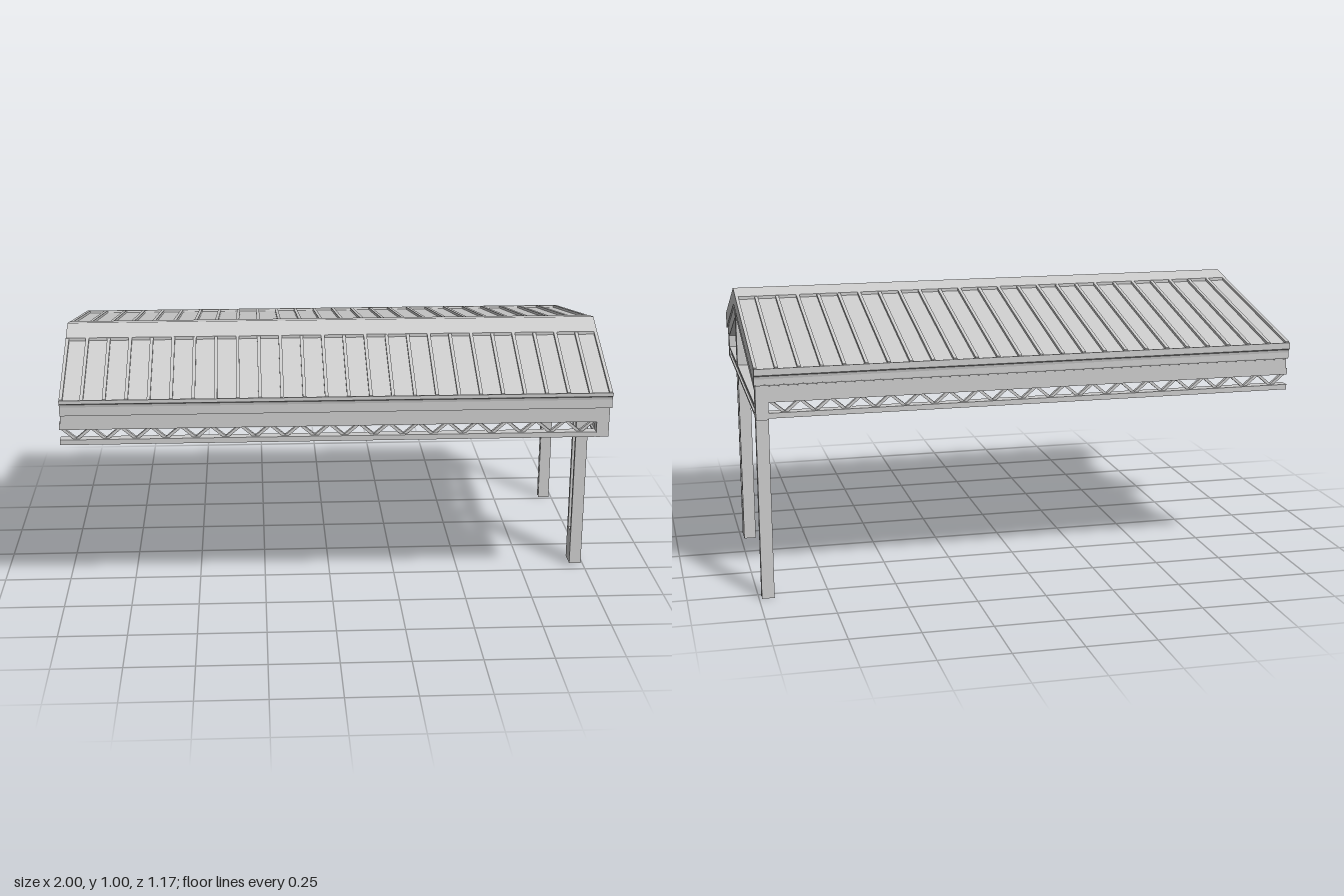
import * as THREE from 'three';

const mat = new THREE.MeshStandardMaterial({ color: 0xcccccc, flatShading: true });
const X0 = -0.97, X1 = 0.995, RIDGE = 0.172;

// Height of the roof surface at depth z
const roofY = z => 1 - (z > RIDGE ? 0.415 * (z - RIDGE) : 0.207 * (RIDGE - z));

export function createModel() {
  const root = new THREE.Group();

  function group(name) {
    const g = new THREE.Group();
    g.name = name;
    root.add(g);
    return g;
  }
  function add(parent, name, geometry) {
    const m = new THREE.Mesh(geometry, mat);
    m.name = name;
    parent.add(m);
    return m;
  }
  // Box given by its limits on each axis
  function box(parent, name, [xa, xb], [ya, yb], [za, zb]) {
    const m = add(parent, name, new THREE.BoxGeometry(xb - xa, yb - ya, zb - za));
    m.position.set((xa + xb) / 2, (ya + yb) / 2, (za + zb) / 2);
    return m;
  }
  // Straight bar between two points
  function bar(parent, name, a, b, w, h) {
    const p = new THREE.Vector3(...a), q = new THREE.Vector3(...b);
    const m = add(parent, name, new THREE.BoxGeometry(w, h, p.distanceTo(q)));
    m.position.copy(p).lerp(q, 0.5);
    m.lookAt(q);
    return m;
  }
  // Profile of [z, y] points extruded along x
  function extrudeX(parent, name, pts, xa, xb) {
    const shape = new THREE.Shape(pts.map(([z, y]) => new THREE.Vector2(-z, y)));
    const g = new THREE.ExtrudeGeometry(shape, { depth: xb - xa, bevelEnabled: false });
    g.rotateY(Math.PI / 2).translate(xa, 0, 0);
    return add(parent, name, g);
  }
  // Layer that follows the roof between two depths below its surface
  function roofBand(parent, name, zs, top, bottom, xa, xb) {
    const upper = zs.map(z => [z, roofY(z) - top]);
    const lower = zs.map(z => [z, roofY(z) - bottom]).reverse();
    return extrudeX(parent, name, [...upper, ...lower], xa, xb);
  }

  // Roof: recessed sheets, standing seams and ridge cap
  const roof = group('roof');
  roofBand(roof, 'roofSheet', [0.575, RIDGE, -0.575], 0.01, 0.06, X0, X1);
  const panels = 25, step = (X1 - X0) / panels;
  for (let i = 0; i <= panels; i++) {
    const x = Math.min(Math.max(X0 + i * step, X0 + 0.006), X1 - 0.006);
    roofBand(roof, 'roofSeam', [0.575, RIDGE, -0.575], 0, 0.012, x - 0.006, x + 0.006);
  }
  roofBand(roof, 'ridgeCap', [0.255, RIDGE, 0.08], -0.001, 0.012, X0, X1);

  // Rafters, one pair per frame
  const rafters = group('rafters');
  for (const x of [0.967, 0.5, 0.01, -0.475]) {
    roofBand(rafters, 'rafter', [0.53, RIDGE, -0.52], 0.058, 0.107, x - 0.022, x + 0.022);
  }

  // Eaves on both long sides: gutter, fascia beam and lattice girder
  const eaves = [
    { name: 'front', s: 1, za: 0.525, zb: 0.562, tip: 0.833 },
    { name: 'back', s: -1, za: 0.515, zb: 0.555, tip: 0.843 },
  ];
  for (const { name, s, za, zb, tip } of eaves) {
    const g = group(name + 'Eave');
    const z = s > 0 ? [za, zb] : [-zb, -za], zm = (z[0] + z[1]) / 2;
    const gutter = [[zb, 0.78], [0.57, 0.78], [0.577, 0.815], [0.586, 0.82],
      [0.586, tip], [0.58, tip], [0.572, 0.825], [zb, 0.825]];
    extrudeX(g, 'gutter', gutter.map(([d, y]) => [s * d, y]), X0, X1);
    box(g, 'fasciaBeam', [X0, 0.99], [0.74, 0.81], z);
    box(g, 'fasciaLip', [X0, 0.99], [0.735, 0.775], [zm - 0.021, zm + 0.021]);
    box(g, 'topChord', [-0.975, 0.95], [0.717, 0.74], z);
    box(g, 'bottomChord', [-0.975, 0.95], [0.66, 0.679], z);
    const bays = 18, w = 1.91 / bays;
    for (let i = 0; i < bays; i++) {
      const x = X0 + i * w;
      bar(g, 'diagonal', [x, 0.72, zm], [x + w / 2, 0.675, zm], 0.014, 0.01);
      bar(g, 'diagonal', [x + w / 2, 0.675, zm], [x + w, 0.72, zm], 0.014, 0.01);
    }
  }

  // End frame: tie beam, king post and post heads
  const frame = group('endFrame');
  const fx = [0.945, 0.99];
  box(frame, 'tieBeam', [0.952, 0.983], [0.668, 0.697], [-0.515, 0.53]);
  box(frame, 'tieBeamTopFlange', fx, [0.695, 0.703], [-0.515, 0.53]);
  box(frame, 'tieBeamBottomFlange', fx, [0.661, 0.669], [-0.515, 0.53]);
  box(frame, 'kingPost', fx, [0.7, 0.92], [0.152, 0.194]);
  box(frame, 'frontPostHead', fx, [0.66, 0.805], [0.522, 0.563]);
  box(frame, 'backPostHead', fx, [0.655, 0.81], [-0.556, -0.512]);

  // Laced column under the ridge
  const laced = group('latticeColumn');
  box(laced, 'columnBase', fx, [0.008, 0.14], [0.137, 0.211]);
  box(laced, 'frontChord', fx, [0.1, 0.664], [0.195, 0.211]);
  box(laced, 'backChord', fx, [0.1, 0.664], [0.137, 0.153]);
  const laces = 11, rise = 0.52 / laces;
  for (let i = 0; i < laces; i++) {
    const za = i % 2 ? 0.15 : 0.198, y = 0.14 + i * rise;
    bar(laced, 'lacing', [0.967, y, za], [0.967, y + rise, 0.348 - za], 0.026, 0.009);
  }

  // Rear column with an H section
  const rear = group('rearColumn');
  box(rear, 'outerFlange', fx, [0, 0.66], [-0.545, -0.538]);
  box(rear, 'innerFlange', fx, [0, 0.66], [-0.523, -0.516]);
  box(rear, 'web', [0.96, 0.975], [0, 0.66], [-0.54, -0.52]);

  // Cable duct running the length of the roof
  const duct = group('cableDuct');
  box(duct, 'ductBody', [-1, 0.95], [0.703, 0.736], [-0.105, -0.007]);
  for (const z of [-0.089, -0.056, -0.023]) {
    box(duct, 'ductCover', [-1, 0.95], [0.734, 0.739], [z - 0.013, z + 0.013]);
  }

  // Hanging lamps joined by a slim rail
  const lamps = group('hangingLamps');
  box(lamps, 'lampRail', [X0, 0.95], [0.703, 0.722], [0.075, 0.113]);
  for (const x of [-0.475, 0.01, 0.5]) {
    box(lamps, 'lampHousing', [x - 0.05, x + 0.05], [0.715, 0.763], [0.042, 0.148]);
    const hood = new THREE.CylinderGeometry(0.07, 0.042, 0.04, 4).rotateY(Math.PI / 4);
    add(lamps, 'lampHood', hood).position.set(x, 0.696, 0.095);
    for (const z of [0.047, 0.144]) {
      box(lamps, 'cableClamp', [x - 0.006, x + 0.006], [0.755, 0.777], [z - 0.005, z + 0.005]);
      box(lamps, 'cable', [x - 0.002, x + 0.002], [0.77, roofY(z) - 0.1], [z - 0.002, z + 0.002]);
    }
  }
  return root;
}
